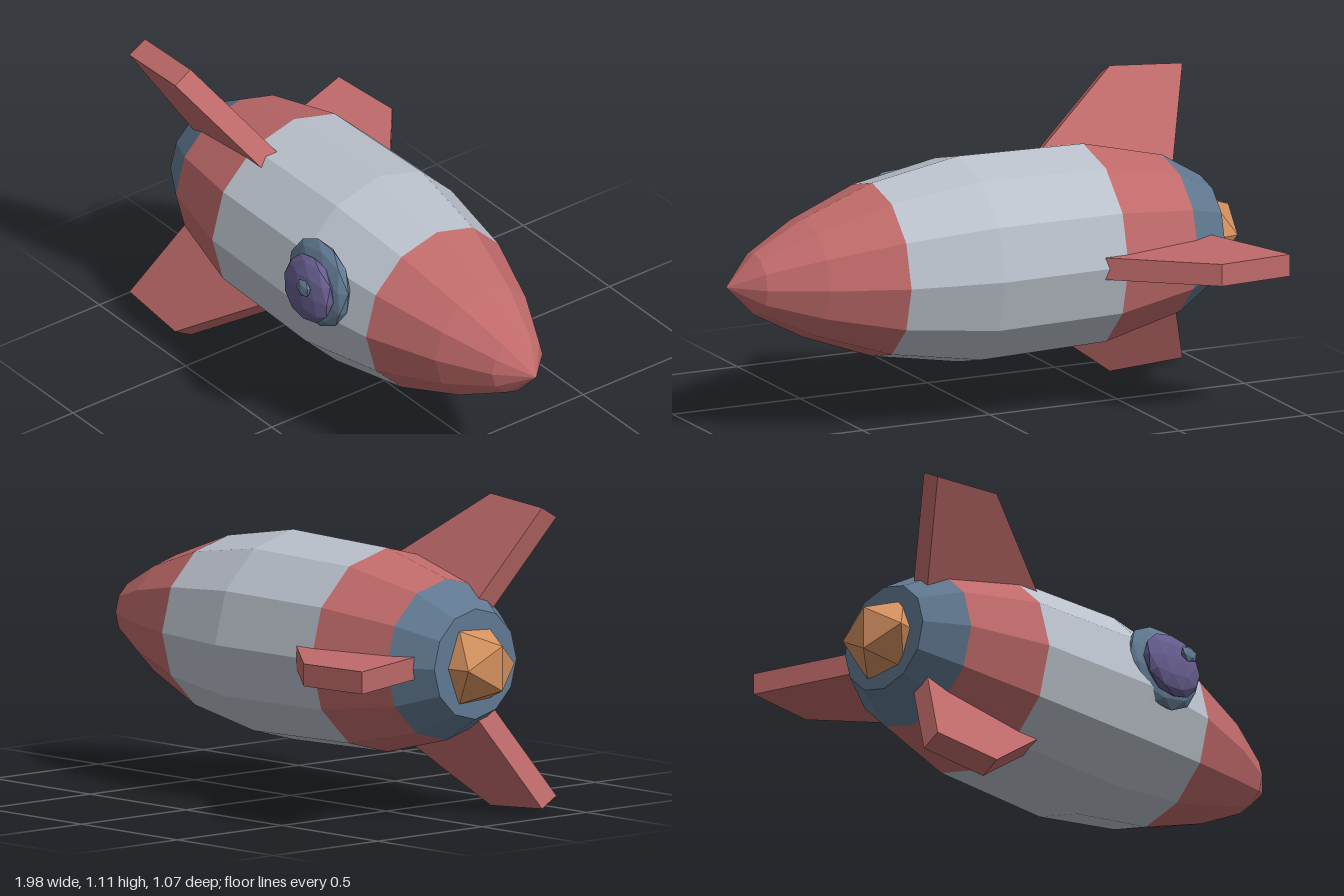
import * as THREE from 'three';

const mat = (name, color) => {
  const m = new THREE.MeshStandardMaterial({ color, flatShading: true });
  m.name = name;
  return m;
};

export function createModel() {
  const red = mat('red', 0xc06a6a);
  const grey = mat('light grey', 0xb9c0ca);
  const blue = mat('slate blue', 0x607890);
  const purple = mat('purple', 0x655c8c);
  const orange = mat('orange', 0xd4915f);

  const rocket = new THREE.Group();
  rocket.name = 'rocket';
  rocket.position.set(0, 0.562, 0.087);

  const add = (name, geometry, material) => {
    const mesh = new THREE.Mesh(geometry, material);
    mesh.name = name;
    rocket.add(mesh);
    return mesh;
  };

  // Hull sections: twelve-sided lathes along x, points are [x, radius]
  const section = (name, points, material) => {
    const g = new THREE.LatheGeometry(points.map(([x, r]) => new THREE.Vector2(r, x)), 12);
    g.rotateZ(-Math.PI / 2);
    add(name, g, material);
  };
  section('engineRing', [[-0.87, 0], [-0.87, 0.197], [-0.72, 0.288]], blue);
  section('tailBand', [[-0.72, 0.288], [-0.41, 0.364]], red);
  section('body', [[-0.41, 0.364], [0.08, 0.375], [0.42, 0.316]], grey);
  section('noseCone', [[0.42, 0.316], [0.69, 0.216], [0.885, 0.112], [0.995, 0]], red);

  // Three fins spaced evenly around the tail
  const finShape = new THREE.Shape([
    [-0.78, 0.17], [-0.2, 0.256], [-0.65, 0.62], [-0.93, 0.597],
  ].map(([x, y]) => new THREE.Vector2(x, y)));
  const finGeometry = new THREE.ExtrudeGeometry(finShape, { depth: 0.08, bevelEnabled: false });
  finGeometry.translate(0, 0, -0.04);
  [['backFin', -90], ['upperFin', 30], ['lowerFin', 150]].forEach(([name, angle]) => {
    add(name, finGeometry, red).rotation.x = THREE.MathUtils.degToRad(angle);
  });

  // Exhaust flame
  const flame = add('flame', new THREE.IcosahedronGeometry(0.152, 0), orange);
  flame.position.set(-0.862, -0.005, 0);
  flame.rotation.set(Math.PI / 2, 0, -0.15);

  // Porthole: flattened faceted domes stacked outwards
  const dome = (name, detail, size, position, material, turn) => {
    const g = new THREE.IcosahedronGeometry(1, detail);
    g.rotateZ(turn);
    g.scale(...size);
    const mesh = add(name, g, material);
    mesh.position.set(...position);
    mesh.rotation.x = -0.13;
  };
  dome('portholeFrame', 1, [0.168, 0.163, 0.052], [0.17, 0.108, 0.333], blue, 0.2);
  dome('portholeGlass', 1, [0.13, 0.126, 0.048], [0.175, 0.105, 0.382], purple, 0.5);
  dome('portholeKnob', 0, [0.038, 0.034, 0.015], [0.21, 0.143, 0.433], blue, 0.3);

  const model = new THREE.Group();
  model.name = 'rocketModel';
  model.add(rocket);
  return model;
}
